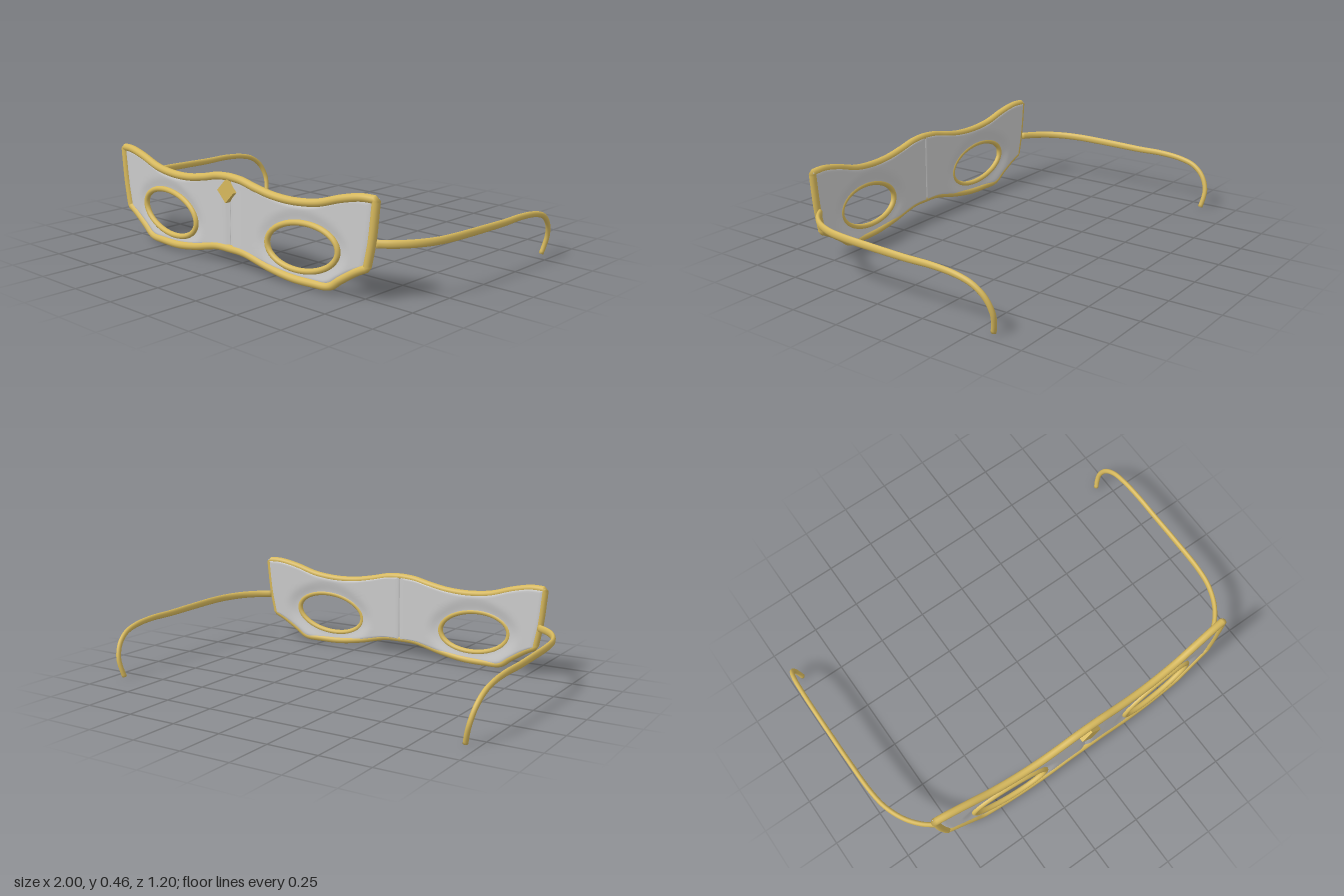
import * as THREE from 'three';

const V2 = (x, y) => new THREE.Vector2(x, y);
const V3 = (x, y, z) => new THREE.Vector3(x, y, z);
const EYE = { x: 0.438, y: 0.18, a: 0.2, b: 0.107, tilt: 0.1 };

// Gentle wrap of the mask around the face
const bow = x => 0.57 - 0.064 * x * x;
const smooth = (d, w) => THREE.MathUtils.smoothstep(d, 0, w);

// Skin between rings of points; each ring is a closed loop
function loft(rings, closed, flip) {
  const n = rings[0].length, m = rings.length, index = [];
  for (let j = 0; j < (closed ? m : m - 1); j++) {
    for (let i = 0; i < n; i++) {
      const k = (i + 1) % n, r = ((j + 1) % m) * n;
      const a = j * n + i, b = r + i, c = j * n + k, d = r + k;
      if (flip) index.push(a, c, b, b, c, d);
      else index.push(a, b, c, b, d, c);
    }
  }
  const geo = new THREE.BufferGeometry().setFromPoints(rings.flat());
  geo.setIndex(index);
  geo.computeVertexNormals();
  return geo;
}

const spline = (pts, n) => new THREE.SplineCurve(pts.map(p => V2(...p))).getPoints(n);

// Half outline of the mask, from bottom centre round to top centre
function halfOutline() {
  const bottom = spline([[0, 0.086], [0.1, 0.082], [0.25, 0.048], [0.38, 0.029], [0.5, 0.028],
    [0.59, 0.034], [0.65, 0.074], [0.725, 0.122], [0.785, 0.152]], 56);
  const side = spline([[0.785, 0.152], [0.808, 0.27], [0.822, 0.4], [0.826, 0.447]], 20);
  const top = spline([[0.826, 0.447], [0.75, 0.446], [0.65, 0.425], [0.53, 0.39], [0.4, 0.376],
    [0.28, 0.38], [0.17, 0.398], [0.08, 0.418], [0, 0.424]], 56);
  return [...bottom, ...side.slice(1), ...top.slice(1)];
}

// Distance from the eye centre to the eye edge at a given angle
function eyeRadius(angle) {
  const t = angle - EYE.tilt;
  return EYE.a * EYE.b / Math.hypot(EYE.b * Math.cos(t), EYE.a * Math.sin(t));
}

// One padded half of the mask: rings spread from the eye hole to the outline
function maskHalf(s) {
  const loop = halfOutline();
  for (let i = 1; i < 24; i++) loop.push(V2(0, 0.424 - (0.338 * i) / 24));
  const rows = 18;
  const ring = (j, back) => loop.map(p => {
    const dx = p.x - EYE.x, dy = p.y - EYE.y;
    const angle = Math.atan2(dy, dx), end = Math.hypot(dx, dy), start = eyeRadius(angle);
    const t = 0.5 - 0.5 * Math.cos((Math.PI * j) / rows);
    const dEye = t * (end - start), dOut = (1 - t) * (end - start);
    const r = start + dEye + (back ? 0.009 * t * t : 0);
    const x = Math.max(0, EYE.x + r * Math.cos(angle));
    const y = EYE.y + r * Math.sin(angle);
    const dz = back
      ? -0.005 - 0.013 * smooth(dEye, 0.08) * smooth(dOut + 0.012, 0.035)
      : 0.001 + 0.009 * smooth(dEye, 0.07) * smooth(dOut, 0.03);
    return V3(s * x, y, bow(x) + dz);
  });
  const rings = [];
  for (let j = 0; j <= rows; j++) rings.push(ring(j, false));
  for (let j = rows; j >= 0; j--) rings.push(ring(j, true));
  return loft(rings, true, s < 0);
}

// Closed round trim through a list of points
function trim(points, segments, radius) {
  const curve = new THREE.CatmullRomCurve3(points, true);
  curve.arcLengthDivisions = 1200;
  return new THREE.TubeGeometry(curve, segments, radius, 12, true);
}

function outlineTrim() {
  const half = halfOutline();
  const left = half.map(p => V3(p.x, p.y, bow(p.x) + 0.002));
  const right = half.slice(1, -1).reverse().map(p => V3(-p.x, p.y, bow(p.x) + 0.002));
  return trim([...left, ...right], 420, 0.0185);
}

function eyeTrim(s) {
  const points = [];
  for (let i = 0; i < 48; i++) {
    const angle = (i / 48) * Math.PI * 2, r = eyeRadius(angle);
    const x = EYE.x + r * Math.cos(angle);
    points.push(V3(s * x, EYE.y + r * Math.sin(angle), bow(x) + 0.005));
  }
  return trim(points, 96, 0.0135);
}

// Oval-section arm that bends back from the mask and hooks behind the ear
function templeArm(s) {
  const curve = new THREE.CatmullRomCurve3([
    [0.812, 0.256, 0.51], [0.87, 0.256, 0.465], [0.925, 0.256, 0.395], [0.965, 0.255, 0.3],
    [0.981, 0.254, 0.2], [0.987, 0.25, 0], [0.988, 0.247, -0.16], [0.988, 0.248, -0.3],
    [0.986, 0.237, -0.42], [0.982, 0.213, -0.5], [0.973, 0.165, -0.556],
    [0.96, 0.1, -0.583], [0.948, 0.05, -0.581], [0.938, 0.006, -0.571],
  ].map(p => V3(...p)));
  const steps = 110, sides = 14, rings = [];
  const { normals, binormals } = curve.computeFrenetFrames(steps, false);
  const ring = (k, size) => {
    const u = k / steps, c = curve.getPointAt(u);
    const tall = size * THREE.MathUtils.lerp(0.0185, 0.0125, smooth(u - 0.3, 0.7));
    const wide = size * 0.0115;
    return Array.from({ length: sides }, (_, i) => {
      const a = (i / sides) * Math.PI * 2;
      const p = c.clone().addScaledVector(normals[k], tall * Math.cos(a))
        .addScaledVector(binormals[k], -wide * Math.sin(a));
      return p.setX(p.x * s);
    });
  };
  rings.push(ring(0, 0));
  for (let k = 0; k <= steps; k++) rings.push(ring(k, 1));
  rings.push(ring(steps, 0));
  return loft(rings, false, s < 0);
}

export function createModel() {
  const gold = new THREE.MeshStandardMaterial({ color: 0xd6b85c });
  gold.name = 'gold';
  const grey = new THREE.MeshStandardMaterial({ color: 0xcacaca });
  grey.name = 'lightGrey';

  const model = new THREE.Group();
  model.name = 'maskGlasses';
  const add = (name, geometry, material) => {
    const mesh = new THREE.Mesh(geometry, material);
    mesh.name = name;
    model.add(mesh);
    return mesh;
  };

  for (const [side, s] of [['left', 1], ['right', -1]]) {
    add(side + 'MaskHalf', maskHalf(s), grey);
    add(side + 'EyeTrim', eyeTrim(s), gold);
    add(side + 'TempleArm', templeArm(s), gold);
  }
  add('outlineTrim', outlineTrim(), gold);

  // Diamond ornament on the brow
  const diamond = add('browDiamond', new THREE.BoxGeometry(0.076, 0.076, 0.034), gold);
  diamond.position.set(0, 0.36, 0.583);
  diamond.rotation.z = Math.PI / 4;

  return model;
}
